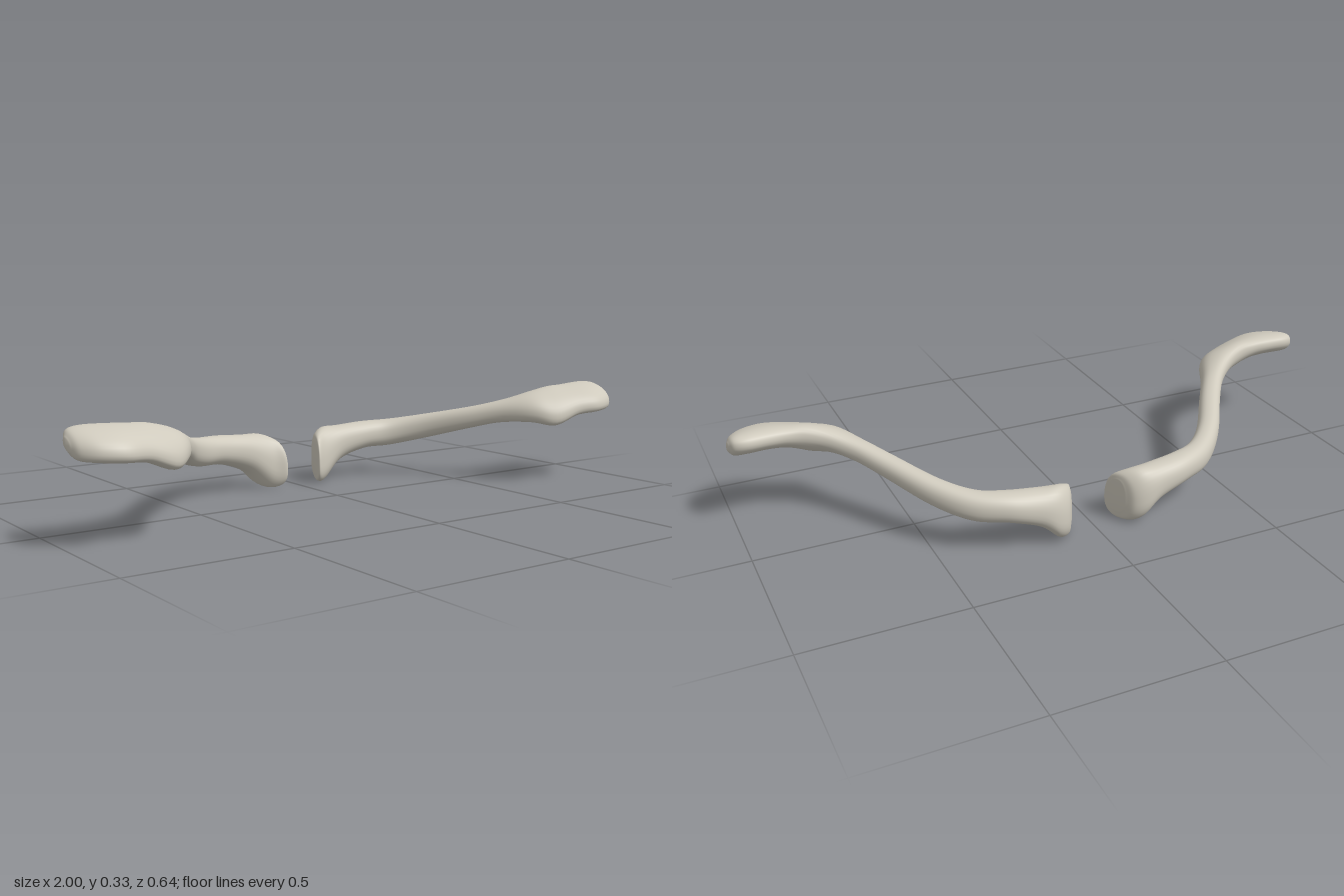
import * as THREE from 'three';

// Stations from the inner end to the outer end:
// back edge x, y, z | front edge x, y, z | rise above and drop below the middle
const STATIONS = [
  [0.090, 0.08, -0.275, 0.066, 0.07, -0.205, 0.065, 0.045],
  [0.112, 0.075, -0.306, 0.066, 0.06, -0.188, 0.095, 0.062],
  [0.150, 0.085, -0.320, 0.105, 0.065, -0.203, 0.105, 0.067],
  [0.205, 0.12, -0.316, 0.180, 0.12, -0.214, 0.063, 0.056],
  [0.300, 0.142, -0.300, 0.280, 0.142, -0.207, 0.048, 0.046],
  [0.405, 0.15, -0.248, 0.360, 0.15, -0.183, 0.046, 0.046],
  [0.500, 0.175, -0.150, 0.440, 0.172, -0.110, 0.042, 0.043],
  [0.595, 0.215, -0.005, 0.530, 0.208, 0.022, 0.037, 0.037],
  [0.655, 0.245, 0.075, 0.592, 0.230, 0.115, 0.037, 0.037],
  [0.715, 0.272, 0.122, 0.650, 0.235, 0.220, 0.045, 0.042],
  [0.775, 0.290, 0.145, 0.712, 0.222, 0.276, 0.051, 0.045],
  [0.830, 0.297, 0.150, 0.800, 0.250, 0.295, 0.043, 0.038],
  [0.885, 0.300, 0.145, 0.875, 0.257, 0.315, 0.043, 0.036],
  [0.945, 0.302, 0.140, 0.940, 0.262, 0.296, 0.040, 0.036],
  [0.982, 0.300, 0.152, 0.982, 0.266, 0.258, 0.032, 0.032],
  [0.998, 0.291, 0.180, 0.998, 0.276, 0.220, 0.014, 0.014],
];
const STEPS = 90, SIDES = 32;

const spline = (pick) =>
  new THREE.CatmullRomCurve3(STATIONS.map((s) => new THREE.Vector3(...pick(s))), false, 'catmullrom', 0.5);

// Lofts one curved bone; side is +1 for the left and -1 for the right
function boneGeometry(side) {
  const backEdge = spline((s) => s.slice(0, 3));
  const frontEdge = spline((s) => s.slice(3, 6));
  const thickness = spline((s) => [s[6], s[7], 0]);
  const positions = [], index = [];
  const soften = (v) => Math.sign(v) * Math.pow(Math.abs(v), 0.88);
  const tri = (a, b, c) => (side > 0 ? index.push(a, b, c) : index.push(a, c, b));

  for (let i = 0; i <= STEPS; i++) {
    const u = i / STEPS;
    const back = backEdge.getPoint(u), front = frontEdge.getPoint(u), t = thickness.getPoint(u);
    for (let j = 0; j < SIDES; j++) {
      const a = (j / SIDES) * Math.PI * 2;
      const p = back.clone().lerp(front, (soften(Math.cos(a)) + 1) / 2);
      const lift = soften(Math.sin(a));
      positions.push(side * p.x, p.y + lift * (lift > 0 ? t.x : t.y), p.z);
      if (i < STEPS) {
        const k = (j + 1) % SIDES, r = i * SIDES, n = r + SIDES;
        tri(r + j, n + j, r + k);
        tri(r + k, n + j, n + k);
      }
    }
  }

  // Close both ends
  for (const u of [0, 1]) {
    const c = backEdge.getPoint(u).lerp(frontEdge.getPoint(u), 0.5);
    const centre = positions.length / 3, r = u * STEPS * SIDES;
    positions.push(side * (c.x + (u ? 0.002 : -0.004)), c.y, c.z);
    for (let j = 0; j < SIDES; j++) {
      const k = (j + 1) % SIDES;
      if (u) tri(centre, r + k, r + j);
      else tri(centre, r + j, r + k);
    }
  }

  const geometry = new THREE.BufferGeometry();
  geometry.setAttribute('position', new THREE.Float32BufferAttribute(positions, 3));
  geometry.setIndex(index);
  geometry.computeVertexNormals();
  return geometry;
}

export function createModel() {
  const group = new THREE.Group();
  group.name = 'collarbones';
  const bone = new THREE.MeshStandardMaterial({ color: 0xcfcabd });
  bone.name = 'bone';
  for (const [name, side] of [['leftCollarbone', 1], ['rightCollarbone', -1]]) {
    const mesh = new THREE.Mesh(boneGeometry(side), bone);
    mesh.name = name;
    group.add(mesh);
  }
  return group;
}
